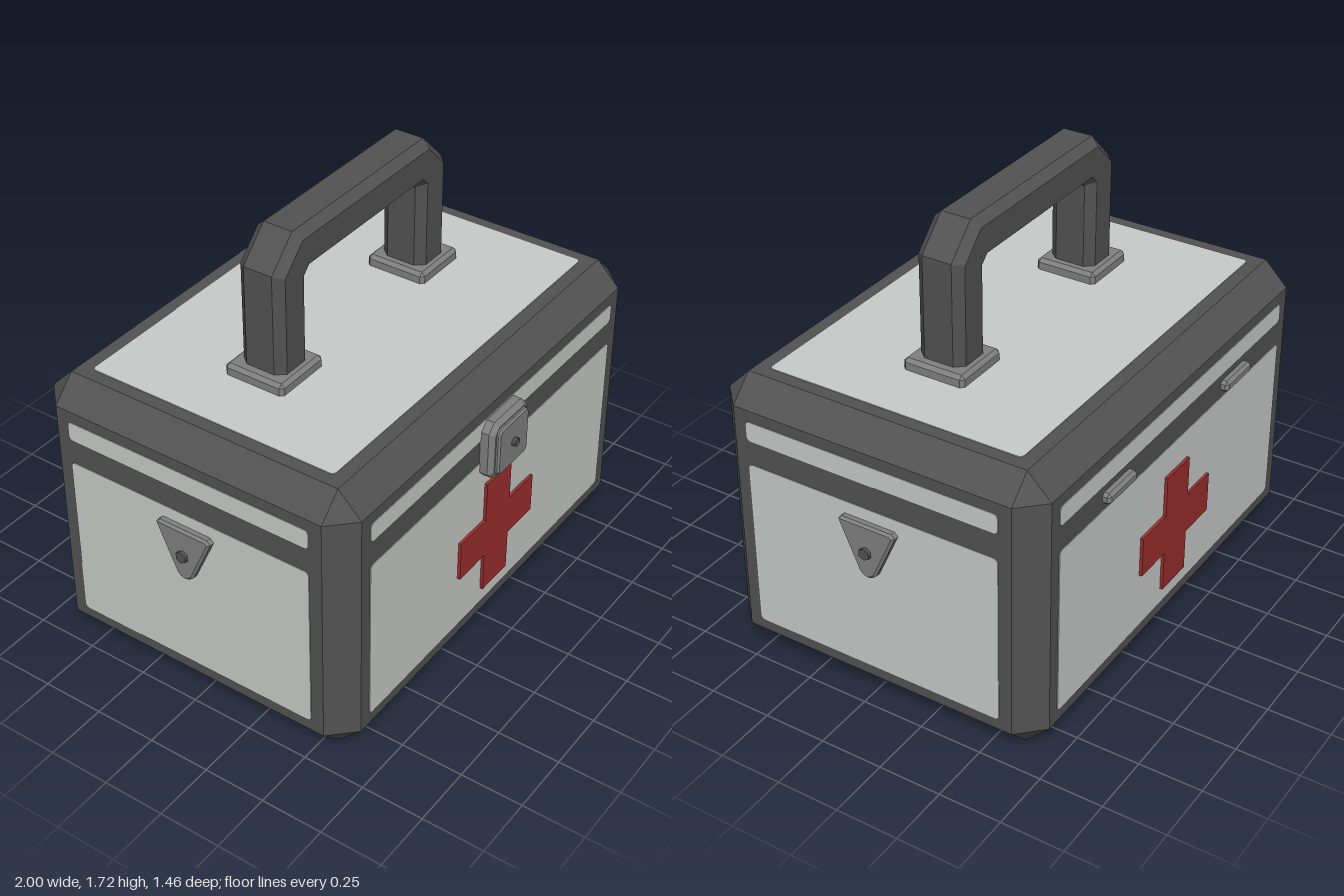
import * as THREE from 'three';
import { ConvexGeometry } from 'three/addons/geometries/ConvexGeometry.js';

const mat = (name, color) => Object.assign(new THREE.MeshStandardMaterial({ color }), { name });

// Box with every edge chamfered: corners become small triangles
function chamferBox(w, h, d, c) {
  const pts = [];
  for (const x of [-1, 1]) for (const y of [-1, 1]) for (const z of [-1, 1]) {
    const [a, b, e] = [x * w / 2, y * h / 2, z * d / 2];
    pts.push(
      new THREE.Vector3(a, b - y * c, e - z * c),
      new THREE.Vector3(a - x * c, b, e - z * c),
      new THREE.Vector3(a - x * c, b - y * c, e));
  }
  return new ConvexGeometry(pts);
}

const polygon = pts => new THREE.Shape(pts.map(p => new THREE.Vector2(p[0], p[1])));

function roundedRect(x0, y0, x1, y1, r) {
  const s = new THREE.Shape();
  s.absarc(x1 - r, y1 - r, r, 0, Math.PI / 2);
  s.absarc(x0 + r, y1 - r, r, Math.PI / 2, Math.PI);
  s.absarc(x0 + r, y0 + r, r, Math.PI, Math.PI * 1.5);
  s.absarc(x1 - r, y0 + r, r, Math.PI * 1.5, Math.PI * 2);
  return s;
}

const plate = (shape, depth) =>
  new THREE.ExtrudeGeometry(shape, { depth, bevelEnabled: false, curveSegments: 4 });

// Extrusion from z = 0 to depth whose front rim is bevelled inside the outline
function bevelPlate(shape, depth, bevel) {
  const g = new THREE.ExtrudeGeometry(shape, {
    depth: depth - bevel, bevelThickness: bevel, bevelSize: bevel,
    bevelOffset: -bevel, bevelSegments: 1, curveSegments: 3,
  });
  return g;
}

export function createModel() {
  const model = new THREE.Group();
  const frame = mat('darkFrame', 0x525252);
  const panel = mat('lightPanel', 0xc8cbc9);
  const metal = mat('greyMetal', 0x808080);
  const red = mat('crossRed', 0x9c2d2d);

  const add = (parent, name, geo, material, x = 0, y = 0, z = 0) => {
    const m = new THREE.Mesh(geo, material);
    m.name = name;
    m.position.set(x, y, z);
    parent.add(m);
    return m;
  };
  const side = (name, x, y, z, rx, ry) => {
    const g = new THREE.Group();
    g.name = name;
    g.position.set(x, y, z);
    g.rotation.set(rx, ry, 0);
    model.add(g);
    return g;
  };
  const bolt = (parent, name, r, y, z, len) =>
    add(parent, name, new THREE.CylinderGeometry(r, r, len, 6).toNonIndexed()
      .rotateX(Math.PI / 2), frame, 0, y, z + len / 2);

  // Case
  const zc = -0.0275;
  add(model, 'caseBody', chamferBox(1.91, 1.15, 1.345, 0.095), frame, 0, 0.575, zc);

  const faces = {
    front: side('frontSide', 0, 0, 0.645, 0, 0),
    back: side('backSide', 0, 0, -0.70, 0, Math.PI),
    left: side('leftSide', 0.955, 0, zc, 0, Math.PI / 2),
    right: side('rightSide', -0.955, 0, zc, 0, -Math.PI / 2),
    top: side('topSide', 0, 1.15, zc, -Math.PI / 2, 0),
    bottom: side('bottomSide', 0, 0, zc, Math.PI / 2, 0),
  };

  // Light panels: a lid strip and a main panel on each wall, one on top and bottom
  const thin = 0.003;
  for (const [key, half] of [['front', 0.81], ['back', 0.81], ['left', 0.525], ['right', 0.525]]) {
    add(faces[key], 'mainPanel', plate(roundedRect(-half, 0.14, half, 0.83, 0.018), thin), panel);
    add(faces[key], 'lidStrip', plate(roundedRect(-half, 0.93, half, 1.01, 0.018), thin), panel);
  }
  for (const key of ['top', 'bottom'])
    add(faces[key], key + 'Panel', plate(roundedRect(-0.81, -0.525, 0.81, 0.525, 0.018), thin), panel);

  // Red crosses, front and back
  const a = 0.083, b = 0.25;
  const cross = plate(polygon([[-a, -b], [a, -b], [a, -a], [b, -a], [b, a], [a, a],
    [a, b], [-a, b], [-a, a], [-b, a], [-b, -a], [-a, -a]]), 0.015);
  for (const key of ['front', 'back']) add(faces[key], 'redCross', cross, red, 0, 0.46, 0);

  // Front latch with raised cover and bolt
  const s = 0.125, k = 0.09;
  add(faces.front, 'latchBase', bevelPlate(polygon([[-k, -s], [k, -s], [s, -k], [s, k],
    [k, s], [-k, s], [-s, k], [-s, -k]]), 0.052, 0.018), metal, 0, 0.88, 0);
  add(faces.front, 'latchCover', bevelPlate(roundedRect(-0.1, -0.1, 0.1, 0.1, 0.025), 0.066, 0.007),
    metal, 0, 0.88, 0);
  bolt(faces.front, 'latchBolt', 0.018, 0.882, 0.05, 0.031);

  // Triangular side plates with bolts
  const badge = polygon([[-0.035, 0.575], [-0.018, 0.56], [0, 0.555], [0.018, 0.56], [0.035, 0.575],
    [0.12, 0.765], [0.105, 0.78], [-0.105, 0.78], [-0.12, 0.765]]);
  for (const key of ['left', 'right']) {
    add(faces[key], 'sidePlate', bevelPlate(badge, 0.031, 0.009), metal);
    bolt(faces[key], 'sideBolt', 0.024, 0.667, 0.02, 0.025);
  }

  // Back hinges
  for (const x of [-0.4325, 0.4325])
    add(faces.back, 'hinge', chamferBox(0.195, 0.046, 0.06, 0.012), metal, x, 0.878, 0);

  // Handle: bevelled arch on two feet
  const arch = polygon([[-0.52, 1.14], [-0.355, 1.14], [-0.355, 1.535], [-0.34, 1.55],
    [0.34, 1.55], [0.355, 1.535], [0.355, 1.14], [0.52, 1.14], [0.52, 1.6],
    [0.4, 1.72], [-0.4, 1.72], [-0.52, 1.6]]);
  add(model, 'handle', new THREE.ExtrudeGeometry(arch, {
    depth: 0.12, bevelThickness: 0.035, bevelSize: 0.03, bevelOffset: -0.03, bevelSegments: 1,
  }), frame, 0, 0, -0.085);
  for (const x of [-0.44, 0.44])
    add(model, 'handleFoot', chamferBox(0.245, 0.08, 0.255, 0.014), metal, x, 1.157, -0.026);

  return model;
}
